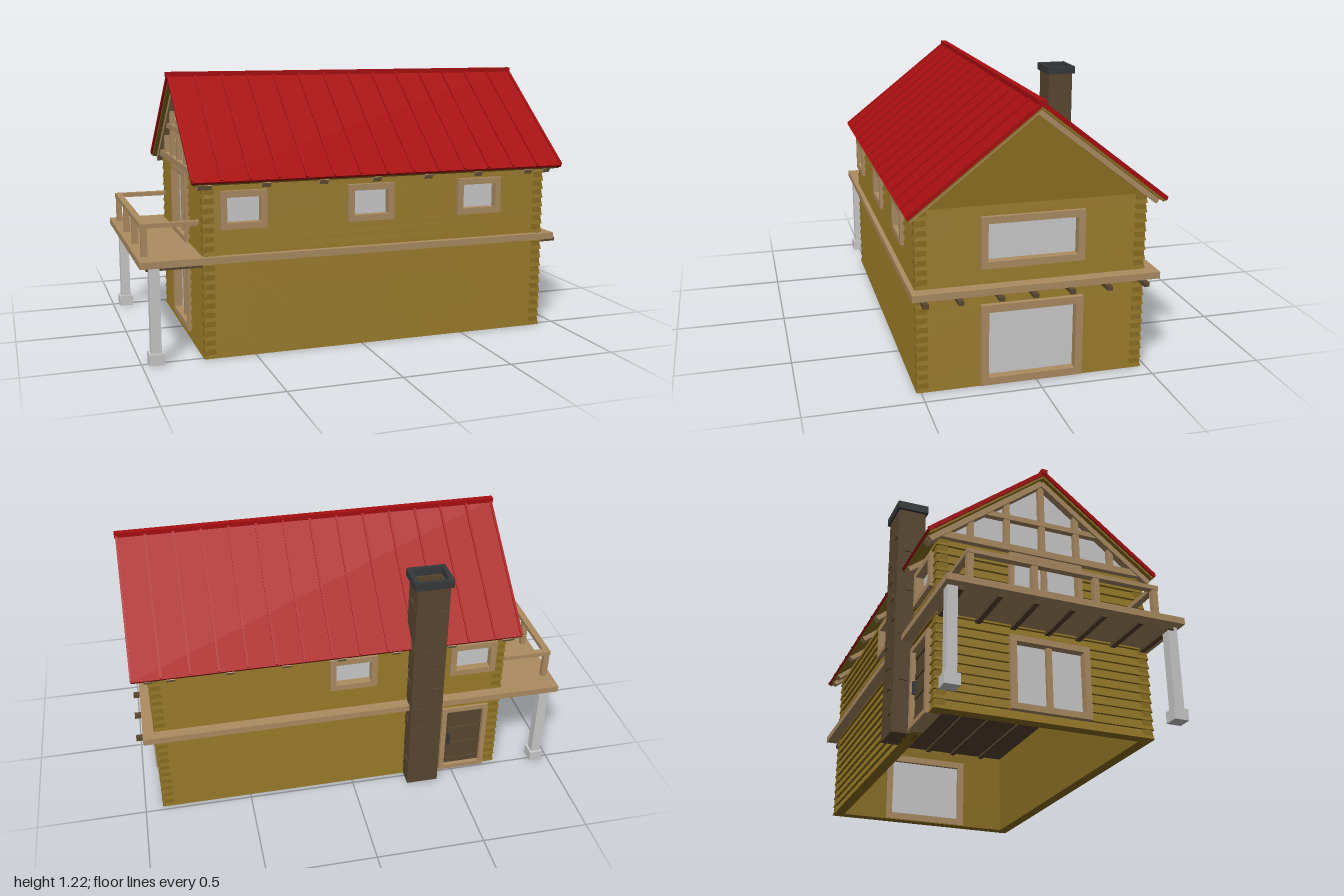
import * as THREE from 'three';

const mat = (color) => new THREE.MeshStandardMaterial({ color, flatShading: true });
const M = {
  log: mat(0x8b6f22), trim: mat(0xac8c62), red: mat(0xa80e10), brown: mat(0x5a4830),
  cap: mat(0x36393c), grey: mat(0xcccccc),
};

function add(parent, name, geometry, material) {
  const m = new THREE.Mesh(geometry, material);
  m.name = name;
  parent.add(m);
  return m;
}

// Box given by its limits on each axis
function box(parent, name, material, x0, x1, y0, y1, z0, z1) {
  const m = add(parent, name, new THREE.BoxGeometry(x1 - x0, y1 - y0, z1 - z0), material);
  m.position.set((x0 + x1) / 2, (y0 + y1) / 2, (z0 + z1) / 2);
  return m;
}

// Box running between two points (z, y), with its centre line on them
function beam(parent, name, material, x0, x1, zA, yA, zB, yB, t) {
  const dz = zB - zA, dy = yB - yA;
  const m = add(parent, name, new THREE.BoxGeometry(x1 - x0, t, Math.hypot(dz, dy)), material);
  m.position.set((x0 + x1) / 2, (yA + yB) / 2, (zA + zB) / 2);
  m.rotation.x = -Math.atan2(dy, dz);
  return m;
}

function rectPath(P, x0, x1, y0, y1) {
  const p = new P();
  p.moveTo(x0, y0).lineTo(x1, y0).lineTo(x1, y1).lineTo(x0, y1).closePath();
  return p;
}

function ring(x0, x1, y0, y1, w, depth) {
  const s = rectPath(THREE.Shape, x0, x1, y0, y1);
  s.holes.push(rectPath(THREE.Path, x0 + w, x1 - w, y0 + w, y1 - w));
  return new THREE.ExtrudeGeometry(s, { depth, bevelEnabled: false });
}

const WALL_TOP = 0.79, ROWS = 19, PITCH = WALL_TOP / ROWS, THICK = 0.04, LAP = 0.013;

// Lapped log siding, cut around openings; outward is local +z
function siding(wall, u0, u1, openings) {
  const cuts = openings.flatMap((o) => [o.v0, o.v1]);
  for (let i = 0; i <= ROWS; i++) cuts.push(i * PITCH);
  cuts.sort((a, b) => a - b);
  for (let i = 0; i < cuts.length - 1; i++) {
    const a = cuts[i], b = cuts[i + 1], mid = (a + b) / 2;
    if (b - a < 1e-4) continue;
    const row = Math.floor(mid / PITCH);
    const out = (v) => LAP * (1 - (v - row * PITCH) / PITCH);
    const holes = openings.filter((o) => o.v0 < mid && o.v1 > mid).sort((p, q) => p.u0 - q.u0);
    let start = u0;
    for (const end of [...holes, { u0: u1, u1 }]) {
      const g = new THREE.BoxGeometry(end.u0 - start, b - a, THICK);
      const p = g.attributes.position;
      for (let k = 0; k < p.count; k++) {
        if (p.getZ(k) > 0) p.setZ(k, THICK / 2 + out(p.getY(k) > 0 ? b : a));
      }
      add(wall, 'logRow', g, M.log).position.set((start + end.u0) / 2, mid, -THICK / 2);
      start = end.u1;
    }
  }
}

// Framed window, sliding door or panelled door filling one opening
function fillOpening(wall, o) {
  const w = o.w ?? 0.028;
  const frame = add(wall, o.kind + 'Frame', ring(o.u0, o.u1, o.v0, o.v1, w, THICK + 0.027), M.trim);
  frame.position.z = -THICK - 0.001;
  const [a, b, c, d] = [o.u0 + w, o.u1 - w, o.v0 + w, o.v1 - w];
  if (o.kind === 'door') {
    box(wall, 'doorPanel', M.brown, a, b, c, d, -0.03, 0.005);
    for (const t of [0.06, 0.36, 0.64, 0.92]) {
      const y = c + (d - c) * t;
      box(wall, 'doorBatten', M.brown, a + 0.012, b - 0.012, y - 0.012, y + 0.012, 0, 0.012);
    }
    box(wall, 'doorHandle', M.cap, a + 0.015, a + 0.023, 0.15, 0.21, 0, 0.025);
  } else {
    box(wall, o.kind + 'Glass', M.grey, a, b, c, d, -0.022, -0.012);
    if (o.kind === 'slidingDoor') {
      const m = (a + b) / 2;
      box(wall, 'doorMullion', M.trim, m - 0.012, m + 0.012, c, d, -0.03, 0.008);
    }
  }
}

function buildWall(parent, name, x, z, turn, u0, u1, openings) {
  const wall = new THREE.Group();
  wall.name = name;
  wall.position.set(x, 0, z);
  wall.rotation.y = turn;
  siding(wall, u0, u1, openings);
  openings.forEach((o) => fillOpening(wall, o));
  parent.add(wall);
}

const open = (kind, u0, u1, v0, v1, w) => ({ kind, u0, u1, v0, v1, w });

const RIDGE_Z = 0.0125, RIDGE_Y = 1.212, SLOPE = 0.78;
const roofY = (z, drop = 0) => RIDGE_Y - drop - SLOPE * Math.abs(z - RIDGE_Z);

function buildRoof(parent) {
  const roof = new THREE.Group();
  roof.name = 'roof';
  parent.add(roof);
  for (const eave of [0.558, -0.533]) {
    // Sloping strip from eave to ridge, or over the part nearest the eave
    const strip = (name, m, x0, x1, drop, t, inner = RIDGE_Z, outer = eave) => {
      const [a, b] = [inner, outer].sort((p, q) => p - q);
      return beam(roof, name, m, x0, x1, a, roofY(a, drop), b, roofY(b, drop), t);
    };
    strip('roofSheet', M.red, -0.778, 0.988, 0.008, 0.012);
    strip('roofLining', M.log, -0.77, 0.98, 0.022, 0.01, RIDGE_Z, eave * 0.985);
    for (let i = 0; i <= 14; i++) {
      const x = -0.774 + i * 0.1257;
      strip('roofSeam', M.red, x - 0.005, x + 0.005, 0, 0.012);
    }
    strip('gableRafter', M.trim, 0.9, 0.935, 0.042, 0.024, RIDGE_Z, eave * 0.97);
    strip('gableRafter', M.trim, -0.75, -0.71, 0.042, 0.03, RIDGE_Z, eave * 0.97);
    for (const x of [-0.71, -0.45, -0.19, 0.06, 0.31, 0.56, 0.82]) {
      strip('rafterTail', M.trim, x - 0.02, x + 0.02, 0.04, 0.026, eave * 0.8, eave * 0.975);
    }
  }
  box(roof, 'ridgeCap', M.red, -0.785, 0.995, 1.2, 1.222, RIDGE_Z - 0.014, RIDGE_Z + 0.014);
}

function gable(parent, name, material, x, depth) {
  const s = new THREE.Shape();
  s.moveTo(-0.515, 0.79).lineTo(0.475, 0.79).lineTo(0.475, roofY(-0.475, 0.025));
  s.lineTo(-RIDGE_Z, RIDGE_Y - 0.025).lineTo(-0.515, roofY(0.515, 0.025)).closePath();
  const m = add(parent, name, new THREE.ExtrudeGeometry(s, { depth, bevelEnabled: false }), material);
  m.rotation.y = Math.PI / 2;
  m.position.x = x;
}

function buildBalcony(g) {
  box(g, 'floorDeck', M.trim, -1, 0.97, 0.425, 0.455, -0.527, 0.54);
  box(g, 'ceilingBoards', M.brown, -0.7, 0.89, 0.417, 0.425, -0.45, 0.49);
  for (const z of [0.49, 0.345, 0.175, 0.03, -0.13, -0.29, -0.455]) {
    box(g, 'joist', M.brown, -0.97, 1, 0.406, 0.424, z - 0.012, z + 0.012);
  }
  for (const z of [-0.488, 0.502]) {
    box(g, 'deckPost', M.grey, -0.96, -0.915, 0.04, 0.425, z - 0.022, z + 0.022);
    box(g, 'postFoot', M.grey, -0.97, -0.905, 0, 0.05, z - 0.033, z + 0.033);
  }
  for (const z of [-0.42, -0.14, 0.14, 0.42]) {
    box(g, 'railPost', M.trim, -0.977, -0.95, 0.45, 0.58, z - 0.013, z + 0.013);
  }
  box(g, 'railTop', M.trim, -0.98, -0.95, 0.578, 0.598, -0.435, 0.435);
  for (const z of [-0.42, 0.42]) box(g, 'sideRail', M.trim, -0.952, -0.72, 0.578, 0.598, z - 0.015, z + 0.015);
}

function buildChimney(g) {
  const upright = (name, geo, m, y) => {
    const mesh = add(g, name, geo, m);
    mesh.rotation.x = -Math.PI / 2;
    mesh.position.y = y;
  };
  upright('chimneyShaft', ring(-0.41, -0.26, 0.43, 0.557, 0.016, 1.1), M.brown, 0);
  upright('chimneyCap', ring(-0.422, -0.245, 0.42, 0.566, 0.02, 0.037), M.cap, 1.102);
  box(g, 'chimneyCore', M.brown, -0.4, -0.27, 0.001, 0.74, -0.545, -0.44);
  // Raised stones on the back and both sides
  [0.1, 0.22, 0.33, 0.44, 0.55, 0.66, 0.76, 0.86, 0.97].forEach((y, i) => {
    const x = -0.38 + ((i * 5) % 4) * 0.028;
    box(g, 'chimneyStone', M.brown, x - 0.022, x + 0.022, y - 0.014, y + 0.014, -0.562, -0.55);
    const side = i % 2 ? -0.41 : -0.26;
    const z = -0.525 + (i % 3) * 0.012;
    box(g, 'chimneyStone', M.brown, side - 0.006, side + 0.006, y + 0.02, y + 0.046, z - 0.02, z + 0.02);
  });
}

export function createModel() {
  const g = new THREE.Group();
  g.name = 'cabin';

  // Log walls
  buildWall(g, 'frontWall', 0, 0.507, 0, -0.725, 0.915, [
    open('window', -0.65, -0.445, 0.57, 0.737), open('window', -0.07, 0.148, 0.57, 0.737),
    open('window', 0.465, 0.685, 0.57, 0.737)]);
  buildWall(g, 'backWall', 0, -0.467, Math.PI, -0.915, 0.725, [
    open('window', -0.11, 0.11, 0.57, 0.737), open('window', 0.46, 0.68, 0.57, 0.737),
    open('door', 0.44, 0.665, 0, 0.375, 0.022)]);
  buildWall(g, 'leftWall', 0.907, 0, Math.PI / 2, -0.515, 0.475, [
    open('window', -0.245, 0.2, 0.525, 0.747, 0.03), open('window', -0.245, 0.2, 0.005, 0.365, 0.033)]);
  buildWall(g, 'rightWall', -0.717, 0, -Math.PI / 2, -0.475, 0.515, [
    open('slidingDoor', -0.15, 0.2, 0.456, 0.775, 0.022), open('slidingDoor', -0.15, 0.22, 0.04, 0.375)]);

  // Solid gable at one end, glazed timber gable at the other
  gable(g, 'solidGable', M.log, 0.875, 0.036);
  gable(g, 'gableGlass', M.grey, -0.715, 0.01);
  box(g, 'tieBeam', M.trim, -0.745, -0.7, 0.78, 0.812, -0.475, 0.515);
  box(g, 'collarBeam', M.trim, -0.742, -0.7, 0.94, 0.965, -0.28, 0.305);
  for (const d of [-0.34, -0.17, 0, 0.17, 0.34]) {
    const z = RIDGE_Z + d;
    box(g, 'gableStud', M.trim, -0.74, -0.7, 0.8, roofY(z, 0.04), z - 0.013, z + 0.013);
  }

  buildRoof(g);
  buildBalcony(g);
  buildChimney(g);
  return g;
}
